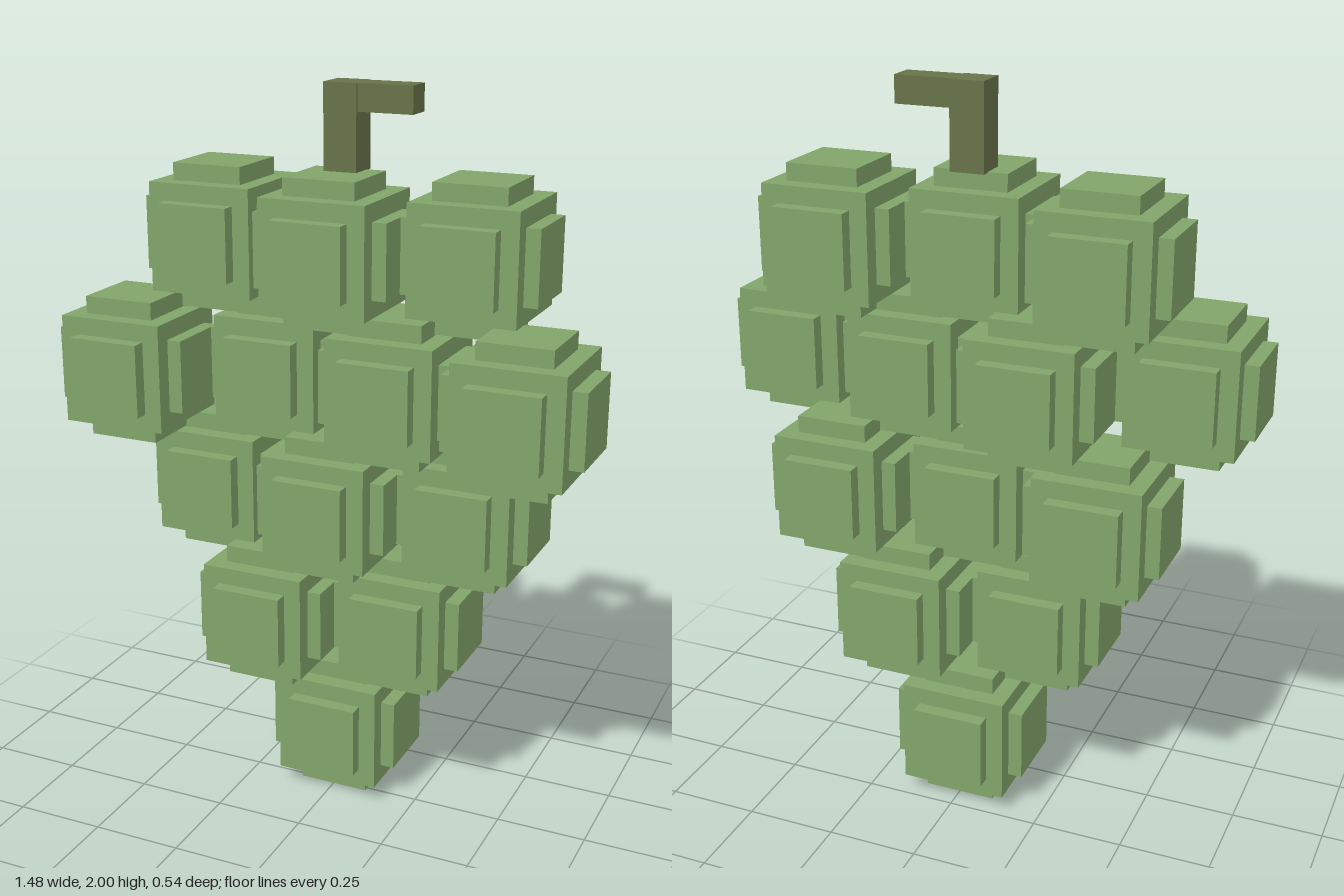
import * as THREE from 'three';

const grapeGreen = new THREE.MeshStandardMaterial({ color: 0x82a46b });
grapeGreen.name = 'grape green';
const stemOlive = new THREE.MeshStandardMaterial({ color: 0x68734a });
stemOlive.name = 'stem olive';

function box(name, size, pos, material) {
  const mesh = new THREE.Mesh(new THREE.BoxGeometry(...size), material);
  mesh.name = name;
  mesh.position.set(...pos);
  return mesh;
}

// A cube with a raised square pad on each of its six faces
function makeGrape(x, y, z) {
  const grape = new THREE.Group();
  grape.name = 'grape';
  const core = 0.296, pad = 0.2;
  const reach = [0.187, 0.195, 0.187];
  grape.add(box('grapeCore', [core, core, core], [0, 0, 0], grapeGreen));
  for (let axis = 0; axis < 3; axis++) {
    for (const side of [-1, 1]) {
      const size = [pad, pad, pad], pos = [0, 0, 0];
      size[axis] = reach[axis] - core / 2;
      pos[axis] = side * (reach[axis] + core / 2) / 2;
      grape.add(box('grapePad', size, pos, grapeGreen));
    }
  }
  grape.position.set(x, y, z);
  return grape;
}

export function createModel() {
  const model = new THREE.Group();
  model.name = 'grapeBunch';

  // Depth of each grape, by row from the bottom up, from right to left
  const back = -0.085, mid = 0.007, front = 0.084;
  const rows = [
    [back],
    [mid, back],
    [back, mid, back],
    [front, back, mid, front],
    [back, mid, back],
  ];
  rows.forEach((row, r) => {
    row.forEach((z, i) => {
      const x = (i - (row.length - 1) / 2) * 0.37;
      model.add(makeGrape(x, 0.195 + r * 0.346, z));
    });
  });

  // Upright stem with a short arm to one side
  const stem = new THREE.Group();
  stem.name = 'stem';
  stem.add(box('stemPost', [0.092, 0.228, 0.092], [0, 1.886, -0.07], stemOlive));
  stem.add(box('stemArm', [0.155, 0.072, 0.076], [0.12, 1.964, -0.07], stemOlive));
  model.add(stem);

  return model;
}
